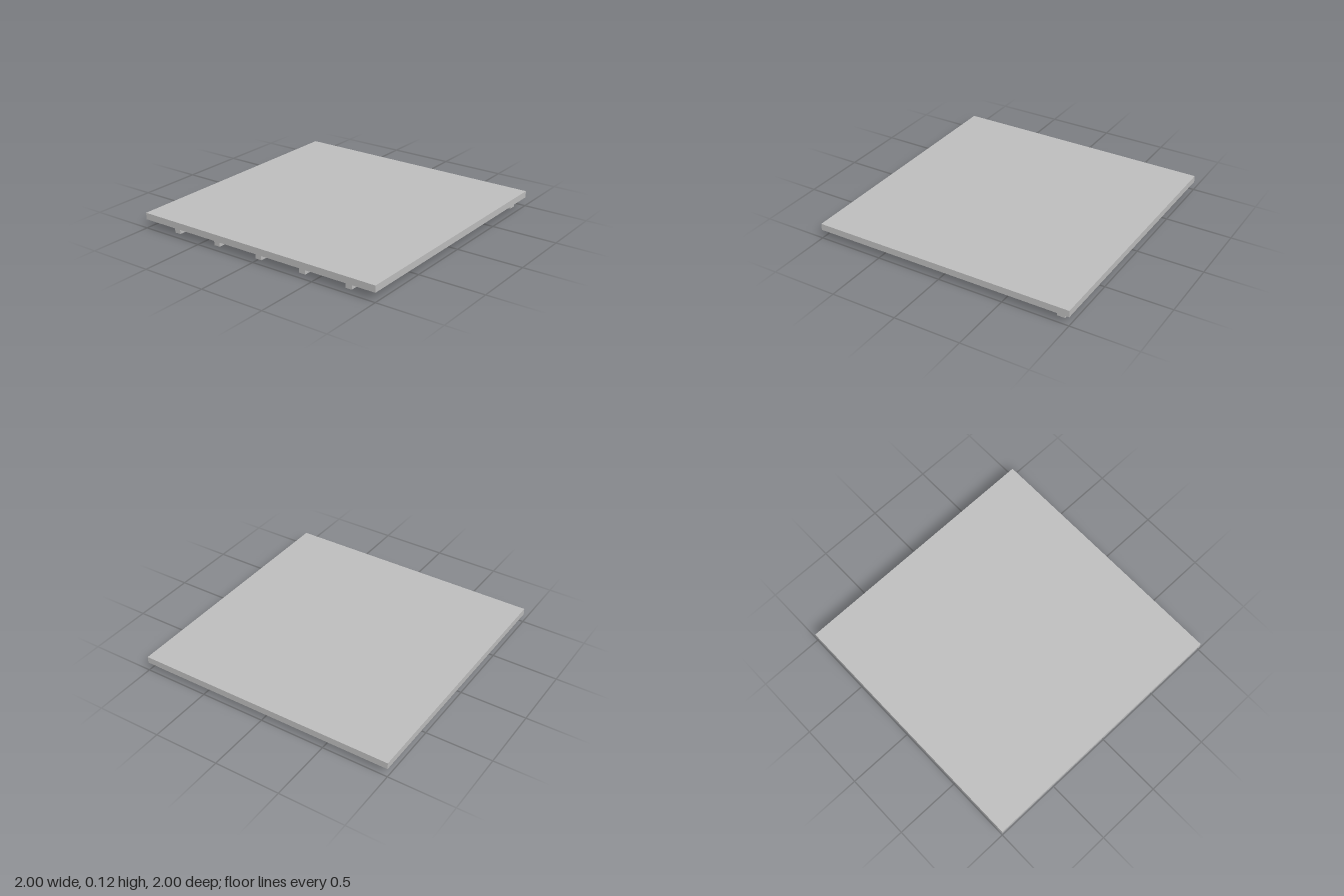
import * as THREE from 'three';

export function createModel() {
  const model = new THREE.Group();
  const grey = new THREE.MeshStandardMaterial({ color: 0xc0c0c0 });
  grey.name = 'light grey';

  const add = (name, geometry, x, y, z) => {
    const mesh = new THREE.Mesh(geometry, grey);
    mesh.name = name;
    mesh.position.set(x, y, z);
    model.add(mesh);
  };

  const footHeight = 0.068;
  const slabHeight = 0.05;

  // Square slab
  add('slab', new THREE.BoxGeometry(2, slabHeight, 2), 0, footHeight + slabHeight / 2, 0);

  // Cross bar under the back edge
  add('backBar', new THREE.BoxGeometry(1.88, footHeight, 0.06), 0, footHeight / 2, -0.91);

  // Five ribs running forward from the bar, with slightly bevelled upper edges
  const w = 0.025, bevel = 0.005;
  const profile = new THREE.Shape([
    new THREE.Vector2(-w, 0),
    new THREE.Vector2(w, 0),
    new THREE.Vector2(w, footHeight - bevel),
    new THREE.Vector2(w - bevel, footHeight),
    new THREE.Vector2(-w + bevel, footHeight),
    new THREE.Vector2(-w, footHeight - bevel),
  ]);
  const ribGeometry = new THREE.ExtrudeGeometry(profile, { depth: 1.82, bevelEnabled: false });
  for (let i = -2; i <= 2; i++) add('rib', ribGeometry, i * 0.376, 0, -0.88);

  return model;
}
